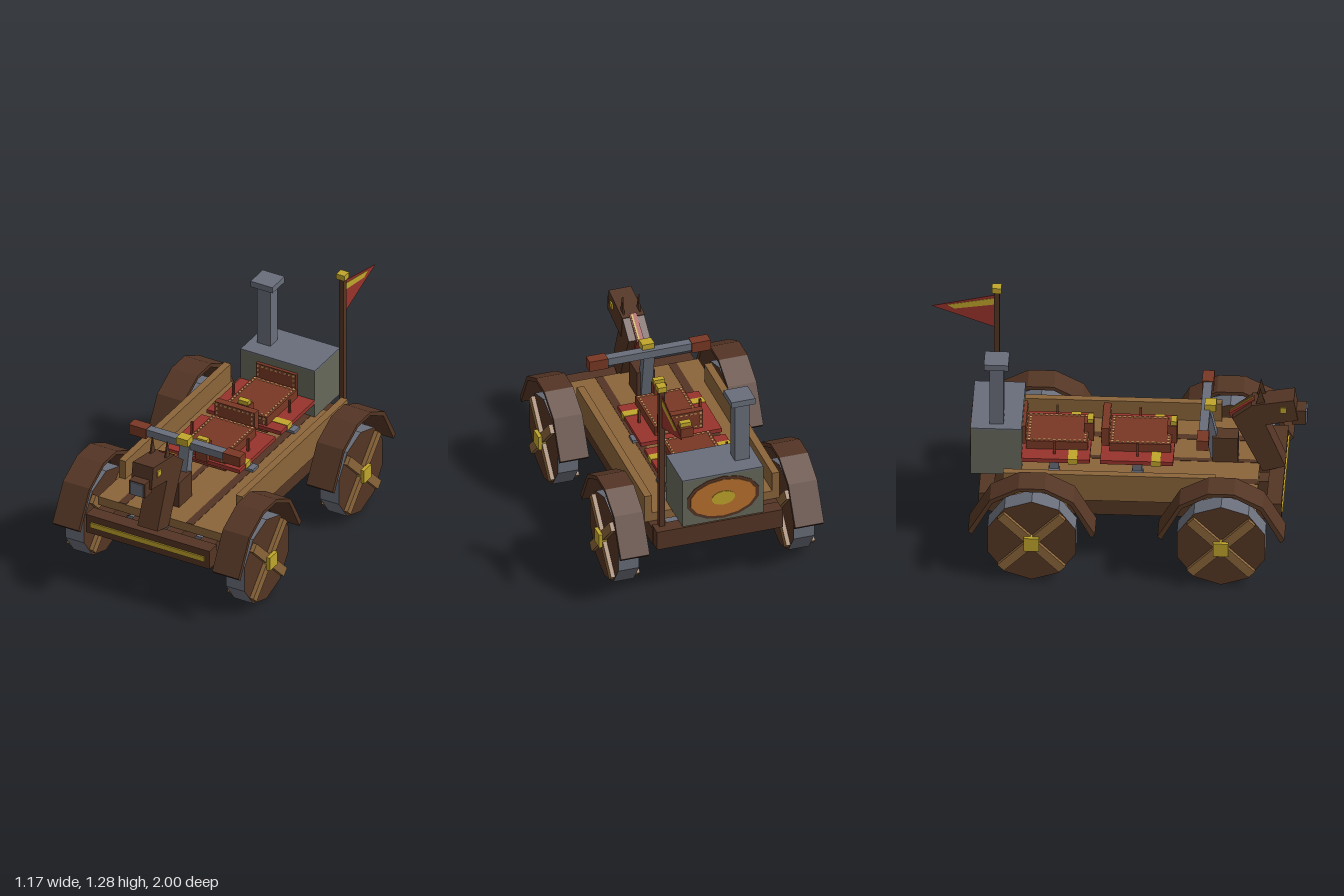
import * as THREE from 'three';

const mat = (name, color, side = THREE.FrontSide) => {
  const m = new THREE.MeshStandardMaterial({ color, side });
  m.name = name;
  return m;
};

export function createModel() {
  const root = new THREE.Group();
  root.name = 'woodenCart';
  const tan = mat('light wood', 0x8b653a);
  const brown = mat('dark wood', 0x543524);
  const iron = mat('iron', 0x696e7a);
  const boiler = mat('boiler metal', 0x66685a);
  const gold = mat('gold', 0xc0a52c);
  const leather = mat('leather', 0x7a3824);
  const red = mat('red cloth', 0x98332c, THREE.DoubleSide);
  const thread = mat('stitching', 0xc89a60);
  const orange = mat('glow orange', 0xb8702c);

  const add = (parent, name, geo, m) => {
    const mesh = new THREE.Mesh(geo, m);
    mesh.name = name;
    parent.add(mesh);
    return mesh;
  };
  // box given by its limits on each axis
  const box = (name, m, [x0, x1], [y0, y1], [z0, z1], parent = root) => {
    const mesh = add(parent, name, new THREE.BoxGeometry(x1 - x0, y1 - y0, z1 - z0), m);
    mesh.position.set((x0 + x1) / 2, (y0 + y1) / 2, (z0 + z1) / 2);
    return mesh;
  };
  // plate outlined by [z, y] points, with thickness along x
  const sidePlate = (name, m, pts, x0, x1, parent = root) => {
    const shape = new THREE.Shape(pts.map(([z, y]) => new THREE.Vector2(-z, y)));
    const geo = new THREE.ExtrudeGeometry(shape, { depth: x1 - x0, bevelEnabled: false });
    geo.rotateY(Math.PI / 2);
    const mesh = add(parent, name, geo, m);
    mesh.position.x = x0;
    return mesh;
  };

  // chassis, deck and side boards
  box('deck', tan, [-0.375, 0.375], [0.4, 0.45], [-0.59, 0.75]);
  for (const [x, w] of [[-0.23, 0.045], [-0.035, 0.03], [0.178, 0.045]])
    box('deckGap', brown, [x - w / 2, x + w / 2], [0.448, 0.452], [-0.588, 0.748]);
  for (const x of [-0.31, -0.105, 0.105, 0.31])
    box('chassisBeam', brown, [x - 0.045, x + 0.045], [0.3, 0.4], [-0.66, 0.81]);
  for (const s of [-1, 1]) {
    const [a, b] = s < 0 ? [-0.375, -0.335] : [0.335, 0.375];
    box('sideBoard', tan, [a, b], [0.4, 0.56], [-0.59, 0.53]);
  }
  box('frontBumper', brown, [-0.375, 0.375], [0.3, 0.41], [0.8, 0.88]);
  box('bumperStripe', gold, [-0.345, 0.345], [0.34, 0.37], [0.88, 0.888]);
  box('rearBumper', brown, [-0.35, 0.35], [0.3, 0.41], [-0.72, -0.64]);

  // axles, wheels and mudguards
  const R = 0.245;
  const arc = [[-0.335, 0.31], [-0.22, 0.51], [-0.07, 0.588], [0.07, 0.588], [0.22, 0.51], [0.335, 0.31]];
  const inner = arc.map(([z, y]) => [z * 0.94, y - 0.02]).reverse();
  for (const z of [0.57, -0.43]) {
    box('axle', iron, [-0.4, 0.4], [0.225, 0.28], [z - 0.028, z + 0.028]);
    for (const s of [-1, 1]) {
      box('axleBracket', iron, [s * 0.31 - 0.026, s * 0.31 + 0.026], [0.235, 0.3], [z - 0.035, z + 0.035]);
      box('bracketPad', brown, [s * 0.31 - 0.045, s * 0.31 + 0.045], [0.29, 0.302], [z - 0.05, z + 0.05]);
      const wheel = new THREE.Group();
      wheel.name = 'wheel';
      wheel.position.set(s * 0.4875, 0.248, z);
      root.add(wheel);
      // ten-sided iron tyre with wooden faces
      const tyre = new THREE.CylinderGeometry(R, R, 0.115, 10).toNonIndexed();
      tyre.computeVertexNormals();
      tyre.rotateZ(Math.PI / 2).rotateX(Math.PI / 2);
      const p = tyre.attributes.position;
      let top = 0;
      for (let i = 0; i < p.count; i++) top = Math.max(top, p.getY(i));
      if (top < R - 0.001) tyre.rotateX(Math.PI / 10);
      add(wheel, 'tyre', tyre, [iron, brown, brown]);
      for (const a of [-1, 1]) {
        const spoke = add(wheel, 'spoke', new THREE.BoxGeometry(0.16, 0.05, 0.46), tan);
        spoke.rotation.x = a * Math.PI / 4;
      }
      add(wheel, 'hub', new THREE.BoxGeometry(0.2, 0.08, 0.08), gold);
      const guard = sidePlate('mudguard', brown, [...arc, ...inner], -0.08, 0.08);
      guard.position.set(s * 0.485 - 0.08, 0, z);
    }
  }

  // boiler with chimney and glowing rear plate
  box('boiler', boiler, [-0.225, 0.225], [0.45, 0.729], [-0.77, -0.5]);
  box('boilerLid', iron, [-0.225, 0.225], [0.729, 0.737], [-0.77, -0.5]);
  box('chimney', iron, [-0.18, -0.1], [0.737, 1.09], [-0.672, -0.597]);
  box('chimneyCap', iron, [-0.205, -0.072], [1.09, 1.125], [-0.7, -0.57]);
  [['fireRing', brown, 0.205, 0.13], ['fire', orange, 0.185, 0.112], ['fireCore', gold, 0.065, 0.042]]
    .forEach(([name, m, rx, ry], i) => {
      const disc = add(root, name, new THREE.CylinderGeometry(1, 1, 0.004, 14), m);
      disc.geometry.rotateX(Math.PI / 2);
      disc.scale.set(rx, ry, 1);
      disc.position.set(0, 0.592, -0.771 - i * 0.003);
    });

  // flagpole and pennant
  box('flagpole', brown, [0.29, 0.32], [0.4, 1.26], [-0.672, -0.642]);
  box('poleCap', gold, [0.28, 0.33], [1.255, 1.287], [-0.682, -0.632]);
  sidePlate('pennant', red, [[-0.67, 1.23], [-0.67, 1.03], [-1, 1.153]], 0.303, 0.307);
  sidePlate('pennantStripe', gold, [[-0.67, 1.212], [-0.67, 1.172], [-0.88, 1.14], [-0.92, 1.162]], 0.301, 0.309);

  // dashes around a rectangle (w by h) lying in the xy plane of a group
  const stitches = (parent, w, h, x, y, z, flat) => {
    const g = new THREE.Group();
    g.name = 'stitches';
    g.position.set(x, y, z);
    if (flat) g.rotation.x = -Math.PI / 2;
    parent.add(g);
    const row = (len, off, alongX) => {
      const n = Math.round(len / 0.026);
      for (let i = 0; i <= n; i++) {
        const t = -len / 2 + len * i / n;
        const d = add(g, 'stitch', new THREE.BoxGeometry(alongX ? 0.014 : 0.009, alongX ? 0.009 : 0.014, 0.005), thread);
        d.position.set(alongX ? t : off, alongX ? off : t, 0);
      }
    };
    for (const s of [-1, 1]) {
      row(w, s * h / 2, true);
      row(h, s * w / 2, false);
    }
  };

  // two saddle seats on red blankets
  for (const [z, len] of [[0.3, 0.385], [-0.14, 0.36]]) {
    const seat = new THREE.Group();
    seat.name = 'seat';
    seat.position.z = z;
    root.add(seat);
    box('blanket', red, [-0.225, 0.225], [0.532, 0.555], [-len, 0], seat);
    box('blanketBand', gold, [-0.227, 0.227], [0.526, 0.558], [-0.115, -0.067], seat);
    box('cushion', leather, [-0.132, 0.132], [0.51, 0.605], [-0.34, -0.015], seat);
    stitches(seat, 0.235, 0.295, 0, 0.606, -0.178, true);
    stitches(seat, 0.23, 0.065, 0, 0.56, -0.014, false);
    box('backrest', leather, [-0.122, 0.122], [0.58, 0.69], [-0.382, -0.342], seat);
    for (const bz of [-0.341, -0.383]) stitches(seat, 0.215, 0.08, 0, 0.638, bz, false);
    box('pommel', leather, [-0.035, 0.035], [0.55, 0.66], [-0.04, 0.012], seat);
    box('pommelCap', gold, [-0.03, 0.03], [0.658, 0.683], [-0.022, 0.01], seat);
    for (const s of [-1, 1]) {
      box('seatPeg', leather, [s * 0.17 - 0.006, s * 0.17 + 0.006], [0.46, 0.632], [-0.196, -0.184], seat);
      box('seatFoot', iron, [s * 0.185 - 0.03, s * 0.185 + 0.03], [0.45, 0.466], [-0.22, -0.16], seat);
      box('seatPost', iron, [s * 0.17 - 0.012, s * 0.17 + 0.012], [0.45, 0.535], [-0.215, -0.165], seat);
    }
  }

  // steering column and handlebar
  box('columnBase', brown, [-0.05, 0.05], [0.45, 0.6], [0.5, 0.635]);
  sidePlate('steeringColumn', iron, [[0.55, 0.46], [0.49, 0.46], [0.44, 0.74], [0.49, 0.74]], -0.03, 0.03);
  box('handlebar', iron, [-0.24, 0.24], [0.722, 0.765], [0.437, 0.485]);
  box('handlebarCap', gold, [-0.034, 0.034], [0.755, 0.797], [0.457, 0.518]);
  for (const s of [-1, 1])
    box('grip', leather, [s * 0.285 - 0.052, s * 0.285 + 0.052], [0.71, 0.77], [0.43, 0.492]);

  // horse figurehead
  const horse = new THREE.Group();
  horse.name = 'horseFigurehead';
  root.add(horse);
  sidePlate('neck', brown, [[0.885, 0.44], [0.765, 0.405], [0.605, 0.735], [0.71, 0.82], [0.78, 0.7]], -0.06, 0.06, horse);
  sidePlate('head', brown, [[0.93, 0.86], [0.95, 0.735], [0.73, 0.69], [0.705, 0.82]], -0.0625, 0.0625, horse);
  box('muzzle', brown, [-0.048, 0.048], [0.7, 0.785], [0.92, 0.993], horse);
  box('muzzlePlate', iron, [-0.04, 0.04], [0.705, 0.78], [0.993, 1], horse);
  sidePlate('mane', red, [[0.72, 0.832], [0.585, 0.738], [0.65, 0.625], [0.7, 0.7]], -0.02, 0.02, horse);
  sidePlate('maneStripe', gold, [[0.71, 0.832], [0.587, 0.745], [0.59, 0.738], [0.71, 0.82]], 0.004, 0.014, horse);
  for (const s of [-1, 1]) {
    box('eye', gold, [s * 0.066 - 0.004, s * 0.066 + 0.004], [0.782, 0.815], [0.858, 0.892], horse);
    sidePlate('ear', brown, [[0.752, 0.922], [0.778, 0.825], [0.728, 0.815]], s * 0.045 - 0.004, s * 0.045 + 0.004, horse);
  }
  return root;
}
